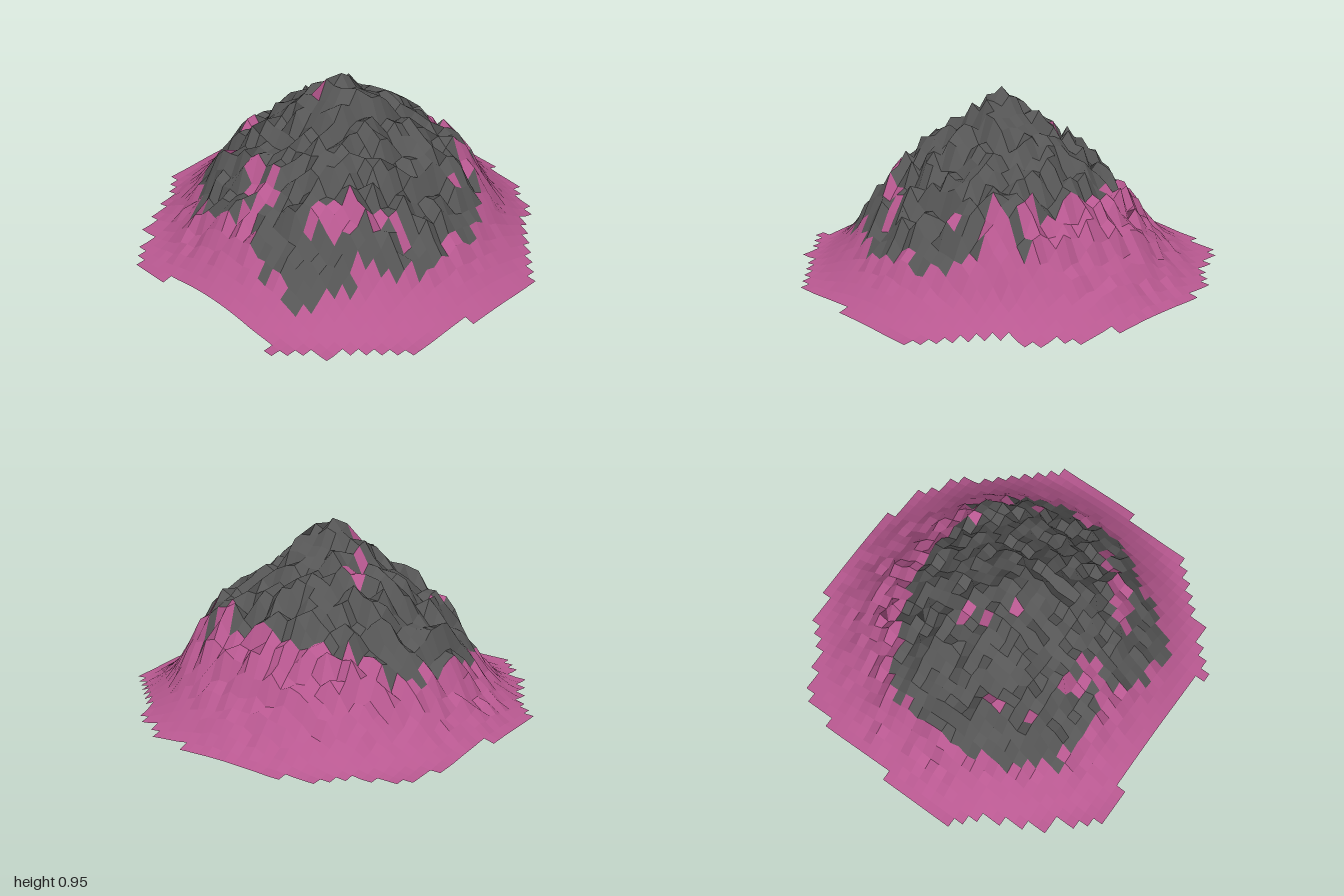
import * as THREE from 'three';

const N = 19; // grid cells per unit
const gx = i => i / N - 1;
const gz = j => (j - 18.5) / N;

// first and last grid column of each row, back to front
const rows = [
  [12, 23], [9, 27], [8, 28], [7, 30], [5, 31], [3, 31], [2, 32], [2, 33], [2, 34], [1, 35],
  [1, 36], [1, 37], [1, 38], [1, 38], [1, 38], [1, 38], [1, 38], [0, 38], [0, 38], [0, 38],
  [0, 38], [0, 37], [0, 37], [0, 37], [0, 37], [1, 37], [2, 37], [3, 37], [3, 36], [4, 35],
  [4, 34], [5, 33], [5, 32], [7, 32], [7, 30], [8, 29],
];

// rock outline seen from above, and bare patches (x, z, radius) inside it
const rock = [
  [-0.4, -0.38], [-0.2, -0.5], [0.4, -0.5], [0.6, -0.35], [0.73, -0.2], [0.73, 0.3], [0.6, 0.4],
  [0.55, 0.5], [0.45, 0.72], [0.35, 0.76], [0.1, 0.7], [0, 0.62], [-0.2, 0.66], [-0.45, 0.62],
  [-0.62, 0.45], [-0.68, 0.1], [-0.68, -0.12], [-0.62, -0.3],
];
const patches = [
  [-0.45, 0.23, 0.05], [-0.4, 0.42, 0.03], [-0.15, 0.48, 0.05], [-0.03, 0.53, 0.06], [0.29, 0.52, 0.05],
  [0.36, 0.46, 0.06], [0.44, 0.38, 0.05], [0.6, 0.21, 0.05], [0.5, 0.29, 0.03], [-0.2, 0.0, 0.03],
  [-0.22, -0.1, 0.05], [0.55, -0.21, 0.03], [0.31, -0.45, 0.04], [0.47, -0.43, 0.07], [-0.1, 0.12, 0.03],
];

// radius and height of the slope
const profile = [
  [0, 0.955], [0.06, 0.885], [0.13, 0.83], [0.2, 0.775], [0.3, 0.69], [0.4, 0.605], [0.5, 0.515],
  [0.6, 0.415], [0.7, 0.285], [0.8, 0.15], [0.9, 0.06], [0.96, 0.02], [1.02, 0.006], [1.3, 0],
];
// shoulders standing out from the slope (x, z, height)
const shoulders = [[0.42, 0.38, 0.07], [0.41, -0.41, 0.11], [-0.41, 0.38, 0.05]];

function hash(i, j) {
  const s = Math.sin(i * 127.1 + j * 311.7) * 43758.5453;
  return s - Math.floor(s);
}

function slope(r) {
  const k = Math.max(1, profile.findIndex(p => p[0] > r));
  const [r0, h0] = profile[k - 1], [r1, h1] = profile[k];
  return THREE.MathUtils.mapLinear(r, r0, r1, h0, h1);
}

function vertex(i, j) {
  const x = gx(i), z = gz(j);
  const r = Math.hypot(x, z - 0.026 * Math.max(0, 1 - Math.hypot(x, z)));
  // roughness fades towards the peak and the foot, reaching lower on the right and back
  const foot = x < -0.3 || (x < 0.2 && z < 0) ? 1.02 : 0.88;
  const fade = THREE.MathUtils.smoothstep(r, 0, 0.1) * (1 - THREE.MathUtils.smoothstep(r, 0.55, foot));
  let y = slope(r) + (hash(i, j) - 0.5) * 0.125 * fade;
  for (const [sx, sz, h] of shoulders) y += h * Math.exp(-((x - sx) ** 2 + (z - sz) ** 2) / 0.025);
  return new THREE.Vector3(x, Math.max(0, y), z);
}

function isRock(x, z, i, j) {
  const px = x + (hash(i + 50, j) - 0.5) * 0.06, pz = z + (hash(i, j + 50) - 0.5) * 0.06;
  let inside = false;
  rock.forEach(([ax, az], k) => {
    const [bx, bz] = rock[(k + 1) % rock.length];
    if ((az > pz) !== (bz > pz) && px < ax + (bx - ax) * (pz - az) / (bz - az)) inside = !inside;
  });
  return inside && !patches.some(([cx, cz, r]) => Math.hypot(x - cx, z - cz) < r);
}

export function createModel() {
  const group = new THREE.Group();
  group.name = 'mountain';
  const faces = {
    rock: { color: 0x565656, positions: [], normals: [] },
    foothill: { color: 0xb85890, positions: [], normals: [] },
  };

  // one four-sided facet with a single normal
  function addCell(i, j) {
    const a = vertex(i, j), b = vertex(i, j + 1), c = vertex(i + 1, j + 1), d = vertex(i + 1, j);
    const normal = c.clone().sub(a).cross(d.clone().sub(b)).normalize();
    const part = isRock(gx(i + 0.5), gz(j + 0.5), i, j) ? faces.rock : faces.foothill;
    for (const p of [a, b, d, b, c, d]) {
      part.positions.push(p.x, p.y, p.z);
      part.normals.push(normal.x, normal.y, normal.z);
    }
  }

  rows.forEach(([from, to], j) => {
    for (let i = from; i < to; i++) addCell(i, j);
  });
  // small tongues at the front edge
  for (const i of [9, 10, 11, 12, 27]) addCell(i, rows.length);

  for (const [name, { color, positions, normals }] of Object.entries(faces)) {
    const geometry = new THREE.BufferGeometry();
    geometry.setAttribute('position', new THREE.Float32BufferAttribute(positions, 3));
    geometry.setAttribute('normal', new THREE.Float32BufferAttribute(normals, 3));
    const mesh = new THREE.Mesh(geometry, new THREE.MeshStandardMaterial({ color, side: THREE.DoubleSide }));
    mesh.name = name;
    group.add(mesh);
  }
  return group;
}
